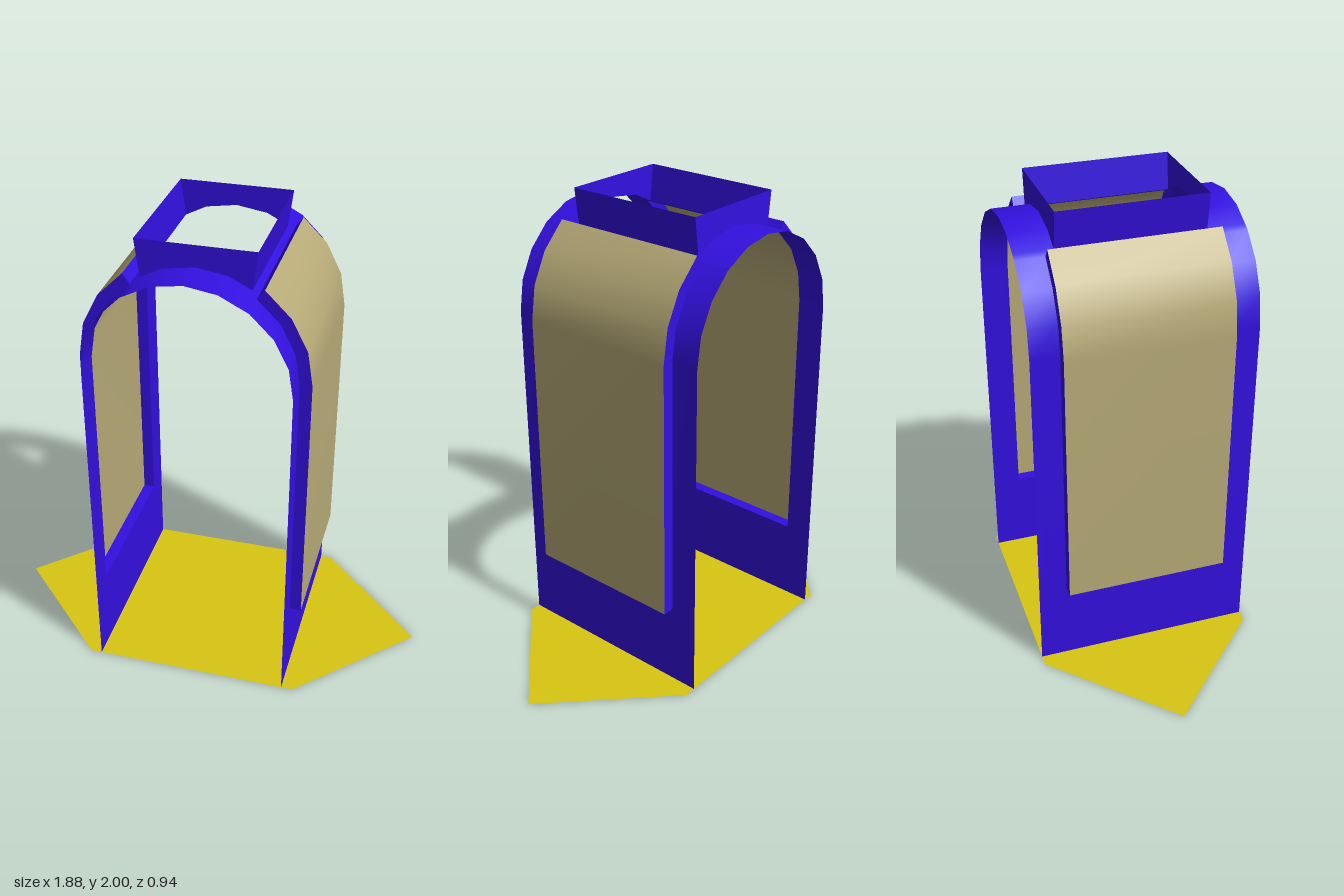
import * as THREE from 'three';

const paint = (color, flatShading = false) =>
  new THREE.MeshStandardMaterial({ color, flatShading, side: THREE.DoubleSide });

const R = 0.42, OUTER = 0.47, SPRING = 1.49, DEPTH = 0.47;
const SILL = 0.36, WIN_Z = 0.35, SKY_X = 0.22, SKY_Z = 0.31, STEP = Math.PI / 10;

// Skins a grid of points; keep(i, j) decides which cells are filled
function loft(rows, keep = () => true) {
  const n = rows[0].length, index = [];
  for (let i = 0; i < rows.length - 1; i++) {
    for (let j = 0; j < n - 1; j++) {
      if (!keep(i, j)) continue;
      const a = i * n + j, b = a + n;
      index.push(a, b, a + 1, b, b + 1, a + 1);
    }
  }
  const g = new THREE.BufferGeometry();
  g.setAttribute('position', new THREE.Float32BufferAttribute(rows.flat(2), 3));
  g.setIndex(index);
  g.computeVertexNormals();
  return g;
}

function add(parent, name, geometry, material) {
  const mesh = new THREE.Mesh(geometry, material);
  mesh.name = name;
  parent.add(mesh);
  return mesh;
}

const onArch = (r, k) => [r * Math.cos(k * STEP), SPRING + r * Math.sin(k * STEP)];

// Side of the vault from the sill up to the top of the window
const windowProfile = (r) => [[r, SILL], ...[0, 1, 2, 3].map((k) => onArch(r, k))];

export function createModel() {
  const group = new THREE.Group();
  const blue = paint(0x3310e0), blueFlat = paint(0x3310e0, true);
  const yellow = paint(0xd8c612), tan = paint(0xb8ab78);

  // Floor: pointed hexagon lying on the ground
  const hex = new THREE.Shape([[0.94, 0], [0.47, 0.47], [-0.47, 0.47], [-0.94, 0], [-0.47, -0.47], [0.47, -0.47]]
    .map(([x, z]) => new THREE.Vector2(x, z)));
  add(group, 'floor', new THREE.ShapeGeometry(hex).rotateX(-Math.PI / 2), yellow);

  // Vault: thin arched sheet with openings for both windows and the skylight
  const p3 = onArch(R, 3), p4 = onArch(R, 4);
  const t = (p3[0] - SKY_X) / (p3[0] - p4[0]);
  const curbFoot = [SKY_X, p3[1] + t * (p4[1] - p3[1])];
  const half = [[R, 0], ...windowProfile(R), curbFoot, p4];
  const profile = [...half, [0, SPRING + R], ...half.map(([x, y]) => [-x, y]).reverse()];
  const zs = [-DEPTH, -WIN_Z, -SKY_Z, SKY_Z, WIN_Z, DEPTH];
  const rows = profile.map(([x, y]) => zs.map((z) => [x, y, z]));
  const last = profile.length - 2;
  const vault = loft(rows, (i, j) => {
    const fromEnd = Math.min(i, last - i);
    const inWindow = fromEnd >= 1 && fromEnd <= 4 && j >= 1 && j <= 3;
    const inSkylight = fromEnd >= 6 && j === 2;
    return !inWindow && !inSkylight;
  });
  add(group, 'vault', vault, blue);

  // Windows: a raised frame around each opening, closed by a curved pane
  const outline = (r) => {
    const p = windowProfile(r);
    const loop = [...p.map(([x, y]) => [x, y, WIN_Z]), ...p.map(([x, y]) => [x, y, -WIN_Z]).reverse()];
    return [...loop, loop[0]];
  };
  const frame = loft([outline(R), outline(OUTER)]);
  const pane = loft(windowProfile(OUTER).map(([x, y]) => [[x, y, -WIN_Z], [x, y, WIN_Z]]));
  for (const side of ['left', 'right']) {
    const unit = new THREE.Group();
    unit.name = side + 'Window';
    add(unit, 'windowFrame', frame, blueFlat);
    add(unit, 'windowPane', pane, tan);
    if (side === 'right') unit.rotation.y = Math.PI;
    group.add(unit);
  }

  // Skylight curb: open box flaring upward, its foot following the vault
  const crown = [curbFoot, p4, [0, SPRING + R], [-p4[0], p4[1]], [-SKY_X, curbFoot[1]]];
  const foot = [...crown.map(([x, y]) => [x, y, SKY_Z]), ...crown.map(([x, y]) => [x, y, -SKY_Z]).reverse()];
  foot.push(foot[0]);
  const rim = foot.map(([x, , z]) => [x * 0.24 / SKY_X, 2, z]);
  add(group, 'skylightCurb', loft([foot, rim]), blueFlat);

  return group;
}
